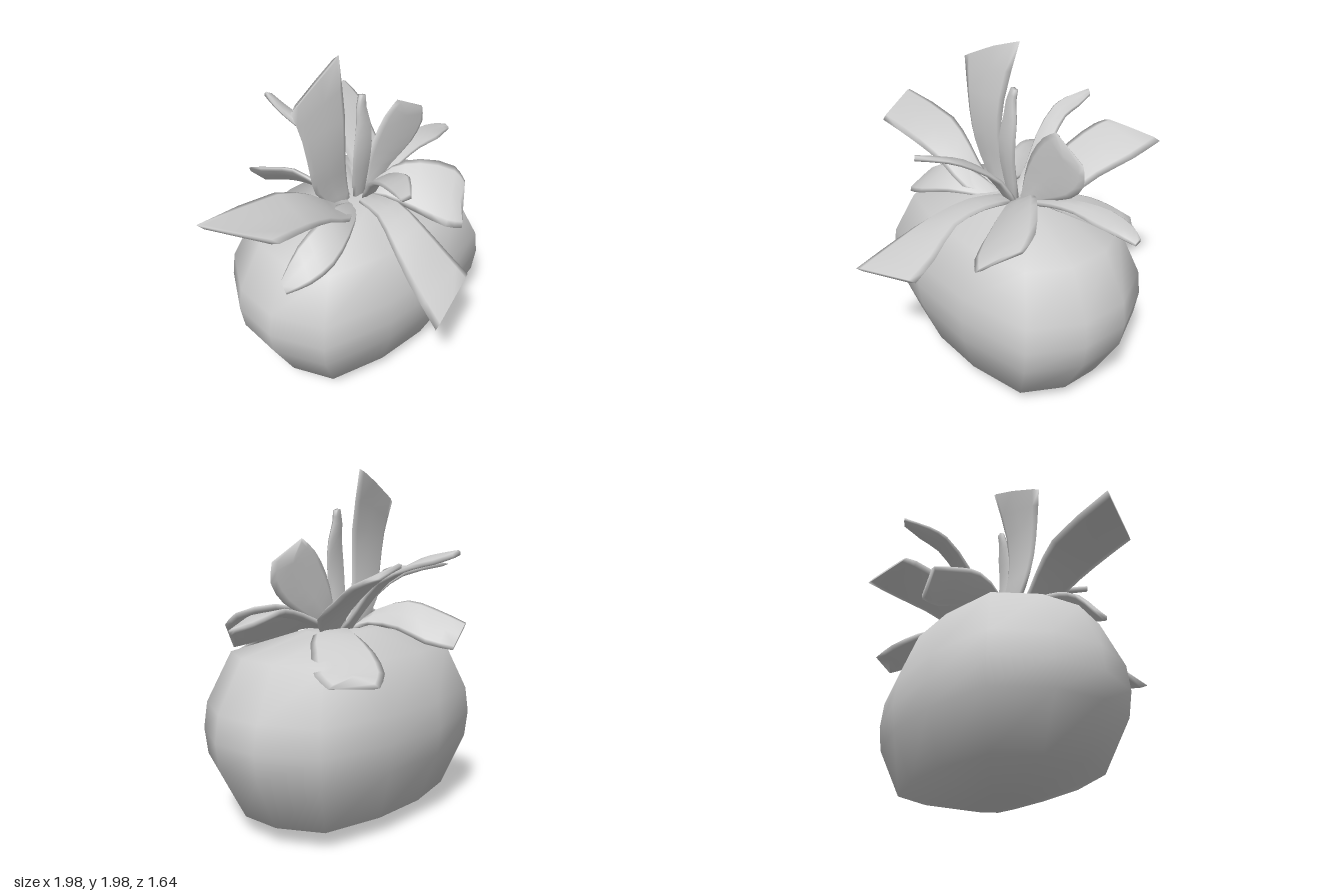
import * as THREE from 'three';

const V = (p) => new THREE.Vector3(...p);

// Skin a list of equal closed rings (counter-clockwise about the sweep direction) and cap both ends
function loft(rings) {
  const n = rings[0].length;
  const pos = rings.flat().flatMap((p) => [p.x, p.y, p.z]);
  const idx = [];
  for (let r = 0; r < rings.length - 1; r++) {
    for (let i = 0; i < n; i++) {
      const a = r * n + i, b = r * n + ((i + 1) % n);
      idx.push(a, b, b + n, a, b + n, a + n);
    }
  }
  const end = (rings.length - 1) * n;
  for (let i = 1; i < n - 1; i++) {
    idx.push(0, i + 1, i);
    idx.push(end, end + i, end + i + 1);
  }
  const g = new THREE.BufferGeometry();
  g.setAttribute('position', new THREE.Float32BufferAttribute(pos, 3));
  g.setIndex(idx);
  g.computeVertexNormals();
  return g;
}

// Rounded body: a twelve-sided plan scaled by a height profile
function bodyGeometry() {
  const q = [[0.82, 0.15], [0.66, 0.45], [0.22, 0.55]];
  const back = q.map(([x, z]) => [x, -z]);
  const left = [...q].reverse().map(([x, z]) => [-x, -z]);
  const front = q.map(([x, z]) => [-x, z]);
  const plan = [...back, ...left, ...front, ...[...q].reverse()];
  const profile = [[0, 0.28], [0.1, 0.79], [0.39, 0.975], [0.54, 1], [0.69, 0.975], [0.97, 0.8], [1.08, 0.28]];
  return loft(profile.map(([y, s]) => plan.map(([x, z]) => new THREE.Vector3(0.1 + x * s, y, -0.12 + z * s))));
}

// Leaf: a thin slab between two edge curves; each row is [edge, otherEdge, optional middle]
function leafGeometry(rows, half = 0.014) {
  const middle = (r) => (r[2] ? V(r[2]) : V(r[0]).lerp(V(r[1]), 0.5));
  const curves = [rows.map((r) => V(r[0])), rows.map(middle), rows.map((r) => V(r[1]))]
    .map((pts) => new THREE.CatmullRomCurve3(pts, false, 'centripetal'));
  const steps = (rows.length - 1) * 2;
  const rings = [];
  for (let i = 0; i <= steps; i++) {
    const t = i / steps;
    const [L, M, R] = curves.map((c) => c.getPoint(t));
    const n = R.clone().sub(L).cross(curves[1].getTangent(t)).normalize().multiplyScalar(half);
    const across = [M.clone().lerp(L, 0.8), M, M.clone().lerp(R, 0.8)];
    const top = across.map((p) => p.clone().add(n));
    const bottom = across.map((p) => p.clone().sub(n)).reverse();
    rings.push([L, ...top, R, ...bottom]);
  }
  return loft(rings);
}

const LEAVES = {
  longSideLeaf: [
    [[0.03, 1.06, -0.16], [0.03, 1.06, -0.06]], [[-0.12, 1.13, -0.1], [-0.12, 1.09, 0.07]],
    [[-0.28, 1.27, -0.1], [-0.3, 1.2, 0.11]], [[-0.5, 1.37, -0.13], [-0.5, 1.29, 0.17]],
    [[-0.99, 1.41, -0.12], [-0.74, 1.37, 0.24]]],
  tallLeaf: [
    [[-0.08, 1.06, -0.13], [0.05, 1.06, -0.13]], [[-0.22, 1.23, -0.12], [0.03, 1.2, -0.13]],
    [[-0.27, 1.4, -0.1], [0, 1.4, -0.11]], [[-0.31, 1.62, -0.1], [0.01, 1.65, -0.12]],
    [[-0.36, 1.81, -0.12], [0.04, 1.98, -0.2], [-0.13, 1.92, -0.16]]],
  frontLeaf: [
    [[0.05, 1.08, -0.05], [0.17, 1.08, -0.05]], [[0.01, 1.1, 0.15], [0.19, 1.12, 0.15]],
    [[-0.06, 1.03, 0.35], [0.18, 1.08, 0.35]], [[-0.12, 0.93, 0.55], [0.22, 0.95, 0.53]],
    [[-0.17, 0.8, 0.81], [0.24, 0.87, 0.67]]],
  raisedFrontLeaf: [
    [[0.1, 1.06, -0.08], [0.2, 1.06, -0.08]], [[0.05, 1.24, 0.03], [0.18, 1.24, 0.03]],
    [[-0.01, 1.35, 0.17], [0.14, 1.37, 0.2]], [[-0.05, 1.39, 0.3], [0.09, 1.43, 0.32]],
    [[-0.09, 1.42, 0.43], [-0.04, 1.44, 0.46]]],
  notchedFrontLeaf: [
    [[0.15, 1.07, -0.1], [0.22, 1.1, -0.12]], [[0.2, 1.08, 0.03], [0.35, 1.2, -0.07]],
    [[0.28, 1.03, 0.2], [0.48, 1.24, 0.03]], [[0.37, 0.97, 0.37], [0.64, 1.19, 0.18]],
    [[0.45, 0.95, 0.43], [0.65, 1.12, 0.26], [0.55, 1.05, 0.31]]],
  droopingSideLeaf: [
    [[0, 1.07, -0.1], [0, 1.06, 0]], [[-0.18, 1.17, -0.03], [-0.2, 1.06, 0.15]],
    [[-0.33, 1.16, 0.02], [-0.38, 1, 0.22]], [[-0.48, 1.08, 0.03], [-0.53, 0.94, 0.2]],
    [[-0.62, 0.93, 0.05], [-0.64, 0.88, 0.12]]],
  flatSideLeaf: [
    [[0.2, 1.08, -0.16], [0.2, 1.08, -0.09]], [[0.45, 1.19, -0.16], [0.45, 1.17, -0.09]],
    [[0.62, 1.23, -0.2], [0.62, 1.2, -0.1]], [[0.76, 1.22, -0.26], [0.78, 1.2, -0.1]],
    [[0.9, 1.19, -0.27], [0.88, 1.18, -0.14]], [[0.99, 1.17, -0.23], [0.99, 1.15, -0.19]]],
  heartLeaf: [
    [[0.17, 1.06, -0.12], [0.22, 1.06, -0.12]], [[0.19, 1.25, -0.13], [0.4, 1.17, -0.13]],
    [[0.24, 1.4, -0.13], [0.57, 1.26, -0.13]], [[0.33, 1.53, -0.13], [0.66, 1.37, -0.13]],
    [[0.43, 1.6, -0.13], [0.65, 1.48, -0.13], [0.51, 1.49, -0.13]]],
  narrowLeaf: [
    [[0.07, 1.06, -0.12], [0.15, 1.06, -0.12]], [[0.03, 1.3, -0.08], [0.16, 1.3, -0.08]],
    [[0.03, 1.45, -0.07], [0.17, 1.45, -0.07]], [[0.06, 1.6, -0.08], [0.165, 1.58, -0.08]],
    [[0.07, 1.68, -0.09], [0.14, 1.68, -0.09]], [[0.1, 1.76, -0.1], [0.14, 1.75, -0.1]]],
  narrowBackLeaf: [
    [[0.06, 1.06, -0.14], [0.14, 1.06, -0.14]], [[0.05, 1.2, -0.25], [0.15, 1.2, -0.27]],
    [[0, 1.36, -0.38], [0.13, 1.36, -0.4]], [[-0.06, 1.48, -0.57], [0.05, 1.44, -0.57]],
    [[-0.06, 1.51, -0.68], [0.03, 1.47, -0.7]], [[-0.03, 1.53, -0.83], [0.01, 1.51, -0.81]]],
  droopingBackLeaf: [
    [[0.02, 1.07, -0.15], [0.08, 1.07, -0.15]], [[-0.1, 1.18, -0.23], [0, 1.1, -0.23]],
    [[-0.17, 1.24, -0.4], [-0.04, 1.08, -0.42]], [[-0.22, 1.2, -0.55], [-0.05, 1.02, -0.6]],
    [[-0.26, 1.13, -0.73], [-0.13, 0.99, -0.73]]],
  notchedBackLeaf: [
    [[0.2, 1.08, -0.17], [0.15, 1.08, -0.22]], [[0.42, 1.08, -0.2], [0.25, 1.07, -0.38]],
    [[0.57, 1.01, -0.33], [0.32, 1.01, -0.55]], [[0.68, 0.93, -0.46], [0.4, 0.93, -0.68]],
    [[0.69, 0.88, -0.56], [0.5, 0.88, -0.73], [0.57, 0.92, -0.62]]],
  wideBackLeaf: [
    [[0.18, 1.06, -0.15], [0.3, 1.06, -0.15]], [[0.18, 1.22, -0.28], [0.44, 1.17, -0.25]],
    [[0.2, 1.36, -0.45], [0.5, 1.27, -0.42]], [[0.24, 1.45, -0.62], [0.58, 1.36, -0.6]],
    [[0.27, 1.47, -0.68], [0.6, 1.42, -0.79], [0.42, 1.45, -0.73]]],
};

export function createModel() {
  const model = new THREE.Group();
  const grey = new THREE.MeshStandardMaterial({ color: 0xcccccc });
  grey.name = 'light grey';
  const add = (name, geometry) => {
    const mesh = new THREE.Mesh(geometry, grey);
    mesh.name = name;
    model.add(mesh);
  };
  add('body', bodyGeometry());
  for (const [name, rows] of Object.entries(LEAVES)) add(name, leafGeometry(rows));
  return model;
}
